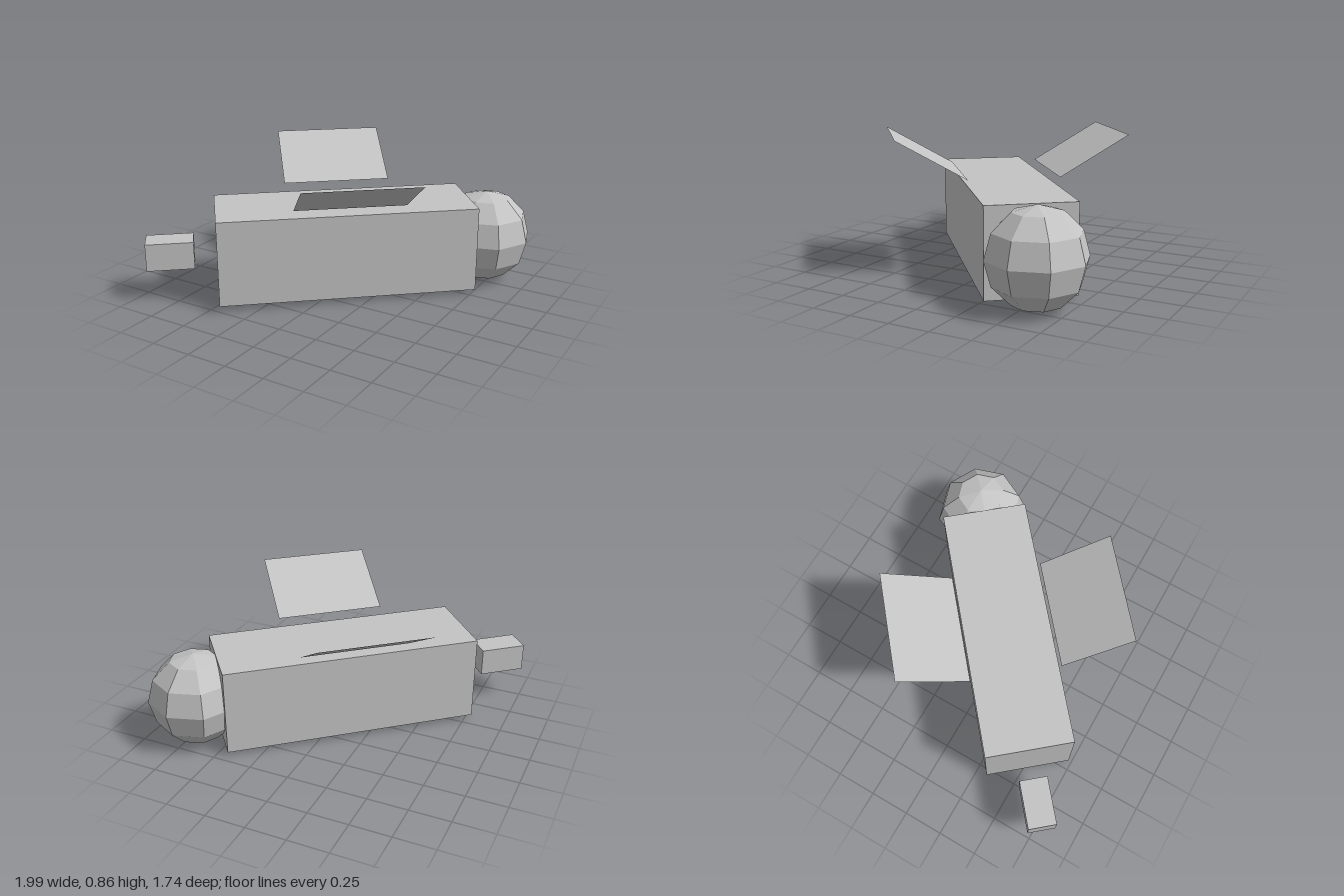
import * as THREE from 'three';

export function createModel() {
  const model = new THREE.Group();
  model.name = 'lowPolyBird';

  const grey = new THREE.MeshStandardMaterial({ color: 0xc4c4c4, side: THREE.DoubleSide, flatShading: true });
  grey.name = 'light grey';

  // The whole figure is turned 40 degrees; parts are laid out along local x
  const bird = new THREE.Group();
  bird.name = 'bird';
  bird.rotation.y = THREE.MathUtils.degToRad(40);
  model.add(bird);

  const midZ = 0.005;
  const midY = 0.297;
  const add = (name, geometry, x, y, z) => {
    const mesh = new THREE.Mesh(geometry, grey);
    mesh.name = name;
    mesh.position.set(x, y, z);
    bird.add(mesh);
    return mesh;
  };

  // Body, head and detached tail
  add('body', new THREE.BoxGeometry(1.59, 0.535, 0.535), -0.017, midY, midZ);
  add('head', new THREE.SphereGeometry(0.2925, 8, 6), 0.91, midY, midZ);
  add('tail', new THREE.BoxGeometry(0.29, 0.172, 0.172), -1.093, midY, midZ);

  // Flat wings, raised 30 degrees on both sides
  const tilt = Math.PI / 6;
  const span = 0.487;
  for (const side of [1, -1]) {
    const geometry = new THREE.PlaneGeometry(0.68, span);
    geometry.rotateX(-Math.PI / 2);
    const wing = add(
      side > 0 ? 'rightWing' : 'leftWing', geometry,
      -0.017, 0.617 + (span / 2) * Math.sin(tilt),
      midZ + side * (0.277 + (span / 2) * Math.cos(tilt))
    );
    wing.rotation.x = -side * tilt;
  }

  return model;
}
